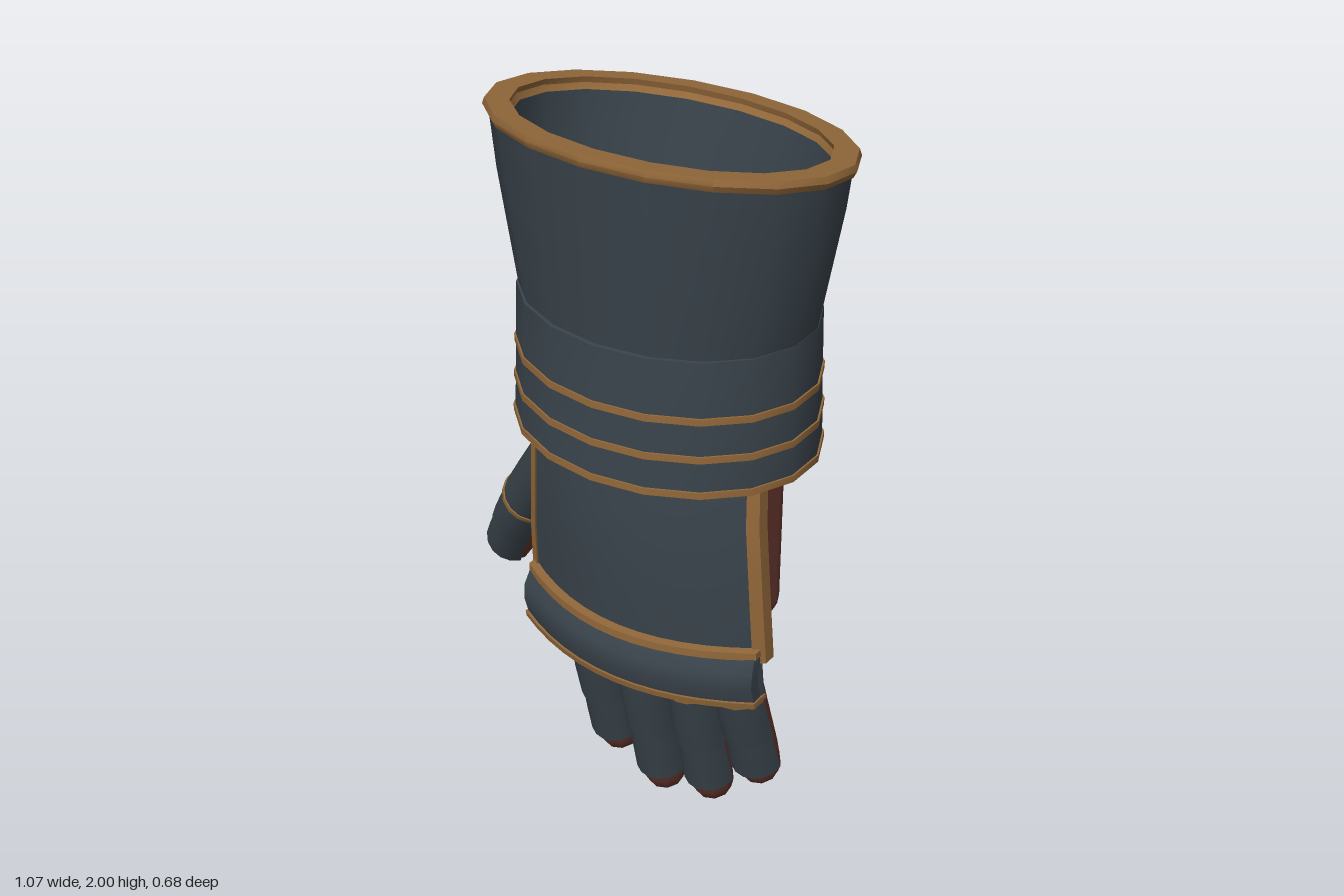
import * as THREE from 'three';
import { toCreasedNormals } from 'three/addons/utils/BufferGeometryUtils.js';
import { RoundedBoxGeometry } from 'three/addons/geometries/RoundedBoxGeometry.js';

const mat = (name, color) => {
  const m = new THREE.MeshStandardMaterial({ color, side: THREE.DoubleSide });
  m.name = name;
  return m;
};

// Surface from a rule point(i, j) over a grid of nu by nv cells
function grid(nu, nv, point) {
  const pos = [], index = [];
  for (let j = 0; j <= nv; j++)
    for (let i = 0; i <= nu; i++) pos.push(...point(i, j));
  for (let j = 0; j < nv; j++)
    for (let i = 0; i < nu; i++) {
      const a = j * (nu + 1) + i, b = a + 1, d = a + nu + 1, c = d + 1;
      index.push(a, b, c, a, c, d);
    }
  const g = new THREE.BufferGeometry();
  g.setAttribute('position', new THREE.Float32BufferAttribute(pos, 3));
  g.setIndex(index);
  return toCreasedNormals(g, 0.75);
}

export function createModel() {
  const steel = mat('dark steel', 0x3a444c);
  const brass = mat('brass trim', 0x94693a);
  const leather = mat('red leather', 0x69382f);
  const model = new THREE.Group();
  const CX = 0.107;

  const add = (name, geometry, material, parent = model) => {
    const mesh = new THREE.Mesh(geometry, material);
    mesh.name = name;
    parent.add(mesh);
    return mesh;
  };

  // Hollow elliptical shell; profile rows are [rx, rz, y, tilt], with wall thickness t
  function shell(name, rows, t, material, parent) {
    const inner = rows.map(([rx, rz, y, k]) => [rx - t, rz - t, y, k]).reverse();
    const loop = [...rows, ...inner, rows[0]];
    const n = 18;
    add(name, grid(n, loop.length - 1, (i, j) => {
      const a = ((i % n) / n) * Math.PI * 2;
      const [rx, rz, y, k = 0] = loop[j];
      const z = rz * Math.cos(a);
      return [CX + rx * Math.sin(a), y + k * z, z];
    }), material, parent);
  }

  // Flared cuff with a slanted, trimmed rim
  const cuff = new THREE.Group();
  cuff.name = 'cuff';
  model.add(cuff);
  shell('cuffWall', [[0.36, 0.28, 1.5, 0], [0.41, 0.315, 1.79, 0.1], [0.424, 0.332, 1.93, 0.16]],
    0.04, steel, cuff);
  shell('cuffRim', [[0.43, 0.334, 1.915, 0.16], [0.4375, 0.342, 1.93, 0.16], [0.432, 0.338, 1.945, 0.16]],
    0.055, brass, cuff);

  // Three overlapping wrist bands, each with a trimmed lower edge
  const wrist = new THREE.Group();
  wrist.name = 'wristBands';
  model.add(wrist);
  [[1.385, 1.53], [1.29, 1.4], [1.2, 1.305]].forEach(([y0, y1], i) => {
    const r = 0.366 + i * 0.003, q = 0.294 + i * 0.003;
    shell('wristBand', [[r + 0.004, q + 0.004, y0, 0.01], [r, q, y1, 0]], 0.035, steel, wrist);
    shell('wristBandTrim', [[r + 0.008, q + 0.008, y0 - 0.01, 0.01], [r + 0.008, q + 0.008, y0 + 0.007, 0.01]],
      0.045, brass, wrist);
  });

  // Bowed sheet across the hand; rows are [halfWidth, z, y], u runs -1 to 1, ends pinched shut
  function sheet(name, rows, u0, u1, bow, t, material, parent) {
    const loop = [...rows.map(r => [...r, 0]), ...rows.map(r => [...r, t]).reverse(), [...rows[0], 0]];
    const n = 12;
    add(name, grid(n + 2, loop.length - 1, (i, j) => {
      const u = u0 + (u1 - u0) * Math.min(Math.max(i - 1, 0), n) / n;
      const [w, z, y, d] = loop[j];
      const depth = i === 0 || i === n + 2 ? t / 2 : d;
      return [CX + w * u, y, z - bow * u * u - depth];
    }), material, parent);
  }

  // Back-of-hand plate with edging and rivets
  const guard = new THREE.Group();
  guard.name = 'handGuard';
  model.add(guard);
  const plate = [[0.325, 0.195, 0.69], [0.32, 0.208, 0.85], [0.308, 0.216, 1.07], [0.297, 0.2, 1.24]];
  sheet('handPlate', plate, -1, 1, 0.11, 0.02, steel, guard);
  const edge = plate.map(([w, z, y]) => [w, z + 0.006, y]);
  for (const s of [-1, 1])
    sheet('handPlateSideTrim', edge, s * 1 - 0.04, s * 1 + 0.04, 0.11, 0.034, brass, guard);
  sheet('handPlateLowerTrim', [[0.328, 0.222, 0.712], [0.328, 0.222, 0.732]], -1, 1, 0.11, 0.045, brass, guard);
  for (const s of [-0.85, 0.85]) {
    const rivet = add('rivet', new THREE.SphereGeometry(0.013, 8, 6), brass, guard);
    rivet.position.set(CX + s * 0.3, 1.165, 0.213 - 0.11 * s * s);
  }

  // Knuckle band
  sheet('knuckleBand', [[0.33, 0.215, 0.585], [0.33, 0.233, 0.64], [0.33, 0.23, 0.68], [0.325, 0.212, 0.718]],
    -1, 1, 0.1, 0.03, steel, guard);
  sheet('knuckleBandTrim', [[0.334, 0.22, 0.577], [0.334, 0.224, 0.594]], -1, 1, 0.1, 0.042, brass, guard);

  // Palm
  add('palm', new RoundedBoxGeometry(0.55, 0.5, 0.192, 3, 0.06), leather).position.set(0.105, 0.95, -0.024);

  // Swept surface along a curve; stops are [t, radius], face is the direction of angle 0
  function limb(name, curve, face, stops, half, sides, material, parent) {
    const frames = stops.map(([t, r]) => {
      const d = curve.getTangentAt(t);
      const n = face.clone().addScaledVector(d, -face.dot(d)).normalize();
      return { p: curve.getPointAt(t), n, s: d.clone().cross(n), r };
    });
    add(name, grid(sides, stops.length - 1, (i, j) => {
      const a = -half + (2 * half * i) / sides;
      const { p, n, s, r } = frames[j];
      return p.clone().addScaledVector(n, r * Math.cos(a)).addScaledVector(s, r * Math.sin(a)).toArray();
    }), material, parent);
  }

  // A leather digit with overlapping armour plates on its outer side
  function digit(name, points, face, r, joints, trimmed) {
    const group = new THREE.Group();
    group.name = name;
    model.add(group);
    const curve = new THREE.CatmullRomCurve3(points.map(p => new THREE.Vector3(...p)));
    limb('leatherDigit', curve, face,
      [[0, 0], [0, r * 0.6], [0.06, r], [0.25, r], [0.4, r], [0.55, r], [0.7, r], [0.82, r], [0.92, r * 0.96],
        [0.97, r * 0.78], [1, r * 0.45], [1, 0]], Math.PI, 10, leather, group);
    for (let k = 0; k + 1 < joints.length; k++) {
      const a = Math.max(joints[k] - 0.03, 0), b = joints[k + 1], m = (a + b) / 2;
      const q = r + 0.009 - k * 0.001;
      limb('digitPlate', curve, face, [[a, r], [a, q - 0.003], [m, q], [b, q + 0.002], [b, r]],
        1.55, 8, steel, group);
      if (k < trimmed)
        limb('digitPlateTrim', curve, face, [[b - 0.012, r], [b - 0.012, q + 0.005], [b + 0.012, q + 0.005], [b + 0.012, r]],
          1.57, 8, brass, group);
    }
  }

  // Four fingers, curling back toward the palm
  const front = new THREE.Vector3(0, 0, 1);
  [[-0.11, 0.08], [0.033, 0.01], [0.18, 0.045], [0.318, 0.165]].forEach(([x, tip]) => {
    const at = (f, z) => [x, 0.73 + (tip - 0.73) * f, z];
    digit('finger', [at(0, 0), at(0.33, -0.005), at(0.66, -0.063), at(1, -0.128)],
      front, 0.06, [0, 0.37, 0.66, 0.88], 1);
  });

  // Thumb, splayed outward
  digit('thumb', [[-0.19, 1.02, 0.025], [-0.36, 0.76, -0.065], [-0.505, 0.515, -0.175]],
    new THREE.Vector3(-0.55, 0, 0.83), 0.061, [0.02, 0.42, 0.68, 0.88], 1);

  return model;
}
